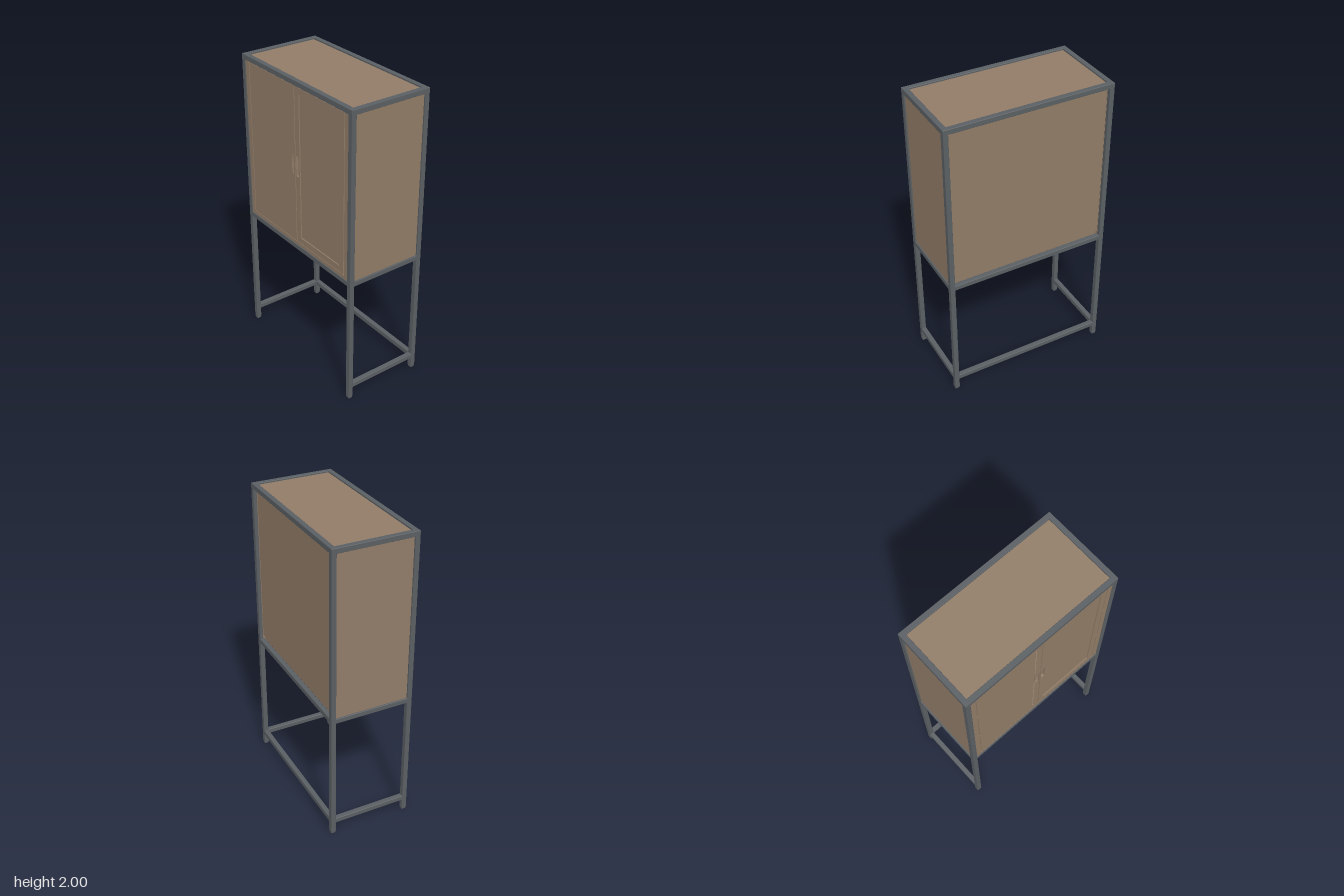
import * as THREE from 'three';
import { RoundedBoxGeometry } from 'three/addons/geometries/RoundedBoxGeometry.js';

const frameMetal = new THREE.MeshStandardMaterial({ color: 0x5a5f63 });
const brownPanel = new THREE.MeshStandardMaterial({ color: 0x917c68 });
frameMetal.name = 'frameMetal';
brownPanel.name = 'brownPanel';

const W = 0.555, D = 0.278, T = 0.033; // half width, half depth, tube thickness
const X = W - T / 2, Z = D - T / 2;    // tube centre lines
const FRONT = 0.273;                   // face of doors and fillers

// Add a box given by two opposite corners
function addBox(parent, name, a, b, material, radius = 0) {
  const s = a.map((v, i) => Math.abs(b[i] - v));
  const geometry = radius
    ? new RoundedBoxGeometry(s[0], s[1], s[2], 1, radius)
    : new THREE.BoxGeometry(...s);
  const mesh = new THREE.Mesh(geometry, material);
  mesh.position.set(...a.map((v, i) => (v + b[i]) / 2));
  mesh.name = name;
  parent.add(mesh);
}

function createFrame() {
  const frame = new THREE.Group();
  frame.name = 'frame';
  const h = T / 2, r = 0.003;
  const railX = (name, y, z) =>
    addBox(frame, name, [-X, y - h, z - h], [X, y + h, z + h], frameMetal, r);
  const railZ = (name, y, x) =>
    addBox(frame, name, [x - h, y - h, -Z], [x + h, y + h, Z], frameMetal, r);

  for (const sx of [-1, 1]) {
    for (const sz of [-1, 1]) {
      const x = sx * X, z = sz * Z, f = 0.0145;
      addBox(frame, 'post', [x - h, 0.012, z - h], [x + h, 2, z + h], frameMetal, r);
      // Slightly narrower glide under each post
      addBox(frame, 'foot', [x - f, 0, z - f], [x + f, 0.03, z + f], frameMetal, r);
    }
  }
  // Top and cabinet base rings
  for (const y of [2 - h, 0.873]) {
    for (const s of [-1, 1]) {
      railX('longRail', y, s * Z);
      railZ('shortRail', y, s * X);
    }
  }
  // Low stretcher, open at the front
  railX('backStretcher', 0.099, -Z);
  for (const s of [-1, 1]) railZ('sideStretcher', 0.099, s * X);
  return frame;
}

function createCarcass() {
  const carcass = new THREE.Group();
  carcass.name = 'carcass';
  const x = W - T, z = D - T;
  addBox(carcass, 'topPanel', [-x - 0.01, 1.965, -z - 0.01], [x + 0.01, 1.99, z + 0.01], brownPanel);
  addBox(carcass, 'bottomPanel', [-x - 0.005, 0.88, -z + 0.005], [x + 0.005, 0.913, FRONT], brownPanel);
  addBox(carcass, 'backPanel', [-x, 0.915, -0.252], [x, 1.975, -0.232], brownPanel);
  for (const s of [-1, 1]) {
    addBox(carcass, 'sidePanel', [s * 0.52, 0.88, -z - 0.01], [s * 0.545, 1.98, z + 0.01], brownPanel);
    addBox(carcass, 'frontFiller', [s * 0.486, 0.9, 0.245], [s * 0.53, 1.975, FRONT], brownPanel);
  }
  return carcass;
}

// Trace a rectangle on a shape or path
function traceRect(path, x0, y0, x1, y1) {
  path.moveTo(x0, y0).lineTo(x1, y0).lineTo(x1, y1).lineTo(x0, y1).closePath();
  return path;
}

// One door with a shallow inset panel, a recessed grip and two hinges; s is its side
function createDoor(s) {
  const door = new THREE.Group();
  door.name = s > 0 ? 'leftDoor' : 'rightDoor';
  const x0 = s * 0.003, x1 = s * 0.48, y0 = 0.916, y1 = 1.963, rim = s * 0.041;
  const shape = traceRect(new THREE.Shape(), x0, y0, x1, y1);
  shape.holes.push(
    traceRect(new THREE.Path(), x0 + rim, y0 + 0.041, x1 - rim, y1 - 0.041),
    traceRect(new THREE.Path(), s * 0.007, 1.38, s * 0.036, 1.515)); // grip cut-out
  const border = new THREE.Mesh(
    new THREE.ExtrudeGeometry(shape, { depth: 0.02, bevelEnabled: false }), brownPanel);
  border.name = 'doorBorder';
  border.position.z = FRONT - 0.02;
  door.add(border);
  addBox(door, 'doorPanel', [x0 + rim * 0.95, y0 + 0.01, 0.25], [x1 - s * 0.01, y1 - 0.01, FRONT - 0.007], brownPanel);
  // Closed back of the grip recess
  addBox(door, 'gripBack', [x0, 1.36, 0.245], [s * 0.044, 1.535, FRONT - 0.016], brownPanel);
  for (const y of [1.27, 1.65]) {
    const hinge = new THREE.Mesh(new THREE.CylinderGeometry(0.003, 0.003, 0.025, 10), brownPanel);
    hinge.name = 'hinge';
    hinge.position.set(s * 0.483, y, FRONT - 0.001);
    door.add(hinge);
  }
  return door;
}

export function createModel() {
  const cabinet = new THREE.Group();
  cabinet.name = 'cabinet';
  cabinet.add(createFrame(), createCarcass(), createDoor(1), createDoor(-1));
  return cabinet;
}
